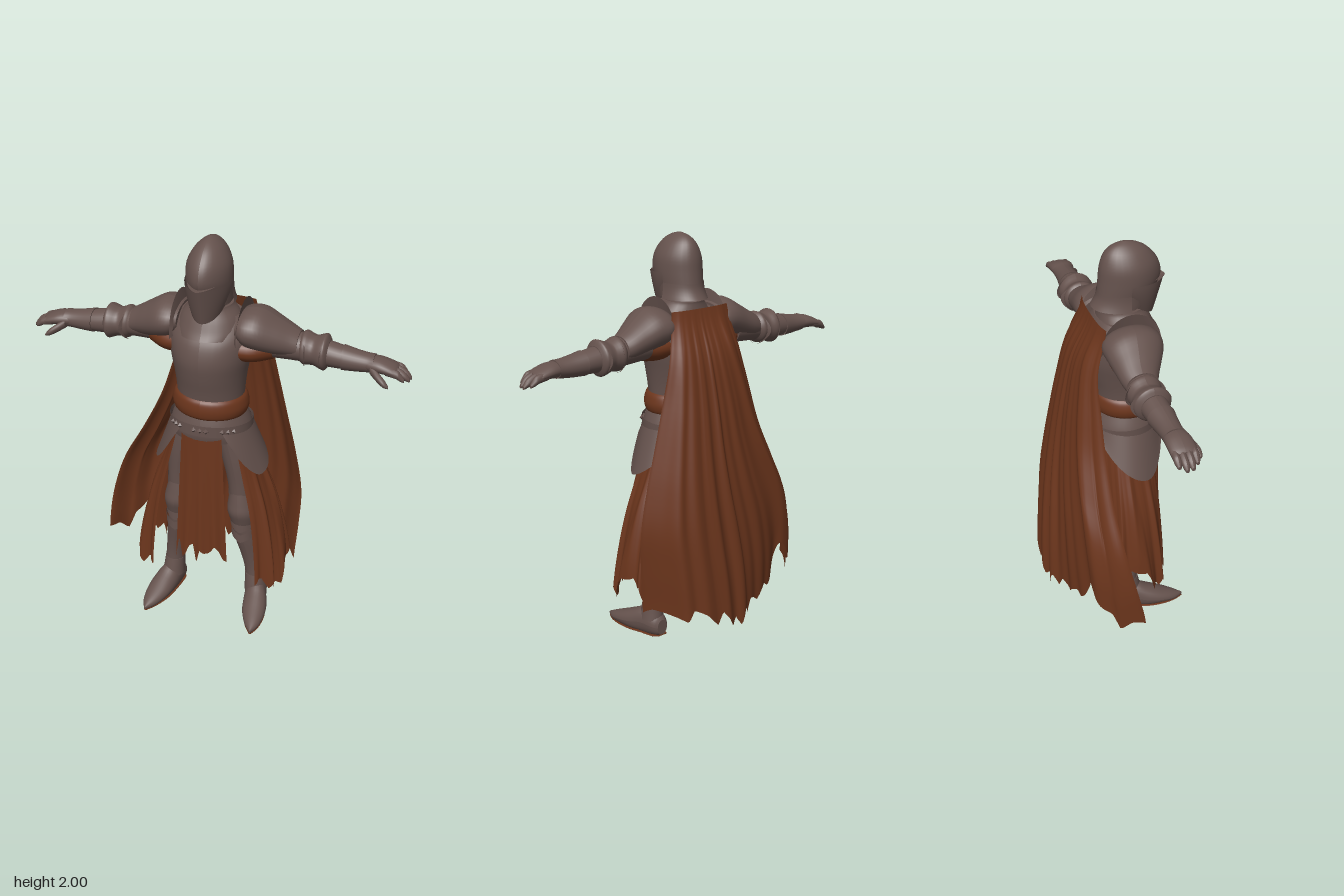
import * as THREE from 'three';

const steel = new THREE.MeshStandardMaterial({ color: 0x65524d, side: THREE.DoubleSide });
steel.name = 'dark steel';
const cloth = new THREE.MeshStandardMaterial({ color: 0x6b351c, side: THREE.DoubleSide });
cloth.name = 'rust cloth';

const lerp = THREE.MathUtils.lerp;
const hash = (n) => { const s = Math.sin(n * 127.1 + 11.7) * 43758.5453; return s - Math.floor(s); };
// jagged zigzag noise for torn hems
const jag = (t) => { const i = Math.floor(t); return lerp(hash(i), hash(i + 1), t - i); };
const bump = (u, at, width) => Math.exp(-(((u - at) / width) ** 2));
// power that keeps the sign, for squarer ellipses
const spow = (a, p) => Math.sign(a) * Math.abs(a) ** p;
// piecewise value along evenly spaced keys, smoothly interpolated
function keys(list, t) {
  const f = Math.min(Math.max(t, 0), 0.99999) * (list.length - 1), i = Math.floor(f), k = f - i;
  const p = (n) => list[Math.min(Math.max(n, 0), list.length - 1)];
  const [a, b, c, d] = [p(i - 1), p(i), p(i + 1), p(i + 2)];
  return 0.5 * (2 * b + (c - a) * k + (2 * a - 5 * b + 4 * c - d) * k * k + (3 * b - a - 3 * c + d) * k * k * k);
}

// Build an indexed geometry
function build(pos, idx) {
  const g = new THREE.BufferGeometry();
  g.setAttribute('position', new THREE.Float32BufferAttribute(pos, 3));
  g.setIndex(idx);
  g.computeVertexNormals();
  return g;
}

// Closed elliptical loft; sections are [t, u, v, ru, rv] with (u, v) = x:(y,z)  y:(z,x)  z:(x,y)
function loft(axis, sections, { seg = 28, sub = 4, map = null } = {}) {
  const s = sections[0][0] > sections.at(-1)[0] ? [...sections].reverse() : sections;
  const col = [0, 1, 2, 3, 4].map((k) => s.map((r) => r[k]));
  const rows = (s.length - 1) * sub, pos = [], idx = [];
  const put = (t, u, v) => {
    let p = axis === 'x' ? [t, u, v] : axis === 'y' ? [v, t, u] : [u, v, t];
    if (map) p = map(...p);
    pos.push(...p);
  };
  const ring = (f) => {
    const [t, u, v, ru, rv] = col.map((c) => keys(c, f));
    for (let j = 0; j <= seg; j++) {
      const a = (j % seg) / seg * Math.PI * 2;
      put(t, u + ru * Math.cos(a), v + rv * Math.sin(a));
    }
    return [t, u, v];
  };
  const w = seg + 1;
  for (let i = 0; i <= rows; i++) ring(i / rows);
  for (let i = 0; i < rows; i++) for (let j = 0; j < seg; j++) {
    const a = i * w + j;
    idx.push(a, a + 1, a + w + 1, a, a + w + 1, a + w);
  }
  for (const end of [0, 1]) {
    const base = pos.length / 3;
    put(...ring(end));
    for (let j = 0; j < seg; j++) idx.push(base + w, base + j + (end ? 0 : 1), base + j + (end ? 1 : 0));
  }
  return build(pos, idx);
}

// Open sheet from a rule fn(u, v) -> [x, y, z]
function sheet(nu, nv, fn) {
  const pos = [], idx = [], w = nu + 1;
  for (let i = 0; i <= nv; i++) for (let j = 0; j <= nu; j++) pos.push(...fn(j / nu, i / nv));
  for (let i = 0; i < nv; i++) for (let j = 0; j < nu; j++) {
    const a = i * w + j;
    idx.push(a, a + w, a + w + 1, a, a + w + 1, a + 1);
  }
  return build(pos, idx);
}

// Mirror a geometry across x and keep its faces outward
function mirrored(geo) {
  const g = geo.clone().scale(-1, 1, 1), ix = g.index.array;
  for (let i = 0; i < ix.length; i += 3) [ix[i], ix[i + 1]] = [ix[i + 1], ix[i]];
  g.computeVertexNormals();
  return g;
}

export function createModel() {
  const model = new THREE.Group();
  const add = (name, mat, geo) => {
    const m = new THREE.Mesh(geo, mat);
    m.name = name;
    model.add(m);
    return m;
  };
  const pair = (name, mat, geo) => {
    add('left ' + name, mat, geo);
    add('right ' + name, mat, mirrored(geo));
  };

  // Helmet: dome drawn to a ridge, beaked visor and neck guard
  const ridge = (x, y, z) => [x * (1 - 0.25 * Math.max(0, (z - 0.1) / 0.16) ** 2), y, z];
  add('helmet dome', steel, loft('y', [[1.7, 0.08, 0, 0.13, 0.098], [1.75, 0.095, 0, 0.135, 0.1], [1.82, 0.115, 0, 0.148, 0.106],
    [1.89, 0.112, 0, 0.138, 0.1], [1.95, 0.1, 0, 0.105, 0.07], [1.985, 0.092, 0, 0.06, 0.034], [2.0, 0.09, 0, 0.008, 0.004]], { map: ridge }));
  add('visor', steel, sheet(40, 10, (u, v) => {
    const s = u * 2 - 1, a = Math.abs(s);
    return [lerp(0.108, 0.083, v * v) * Math.sin(s * Math.PI / 2), lerp(1.818 - 0.015 * (1 - a), 1.63 + 0.09 * a * a, v),
      0.09 + lerp(0.188, 0.14, v) * (1 - a ** 1.7)];
  }));
  // small beak over the eye slit
  add('visor beak', steel, sheet(24, 2, (u, v) => {
    const s = u * 2 - 1, a = Math.abs(s);
    return [0.1 * Math.sin(s * 1.3), 1.822 - 0.018 * (1 - a), 0.095 + lerp(0.165, 0.192, v) * (1 - a ** 1.8)];
  }));
  add('neck guard', steel, sheet(24, 5, (u, v) => {
    const a = Math.PI * u, r = v * v;
    return [lerp(0.102, 0.113, r) * Math.cos(a), lerp(1.77, 1.695, v), 0.09 - lerp(0.13, 0.158, r) * Math.sin(a)];
  }));
  add('neck', steel, loft('y', [[1.6, 0.06, 0, 0.1, 0.1], [1.67, 0.07, 0, 0.1, 0.09], [1.73, 0.08, 0, 0.1, 0.08]]));

  // Cuirass and gorget
  add('cuirass', steel, loft('y', [[1.2, 0.09, 0, 0.145, 0.16], [1.28, 0.09, 0, 0.157, 0.165], [1.36, 0.088, 0, 0.175, 0.175],
    [1.44, 0.085, 0, 0.186, 0.19], [1.52, 0.078, 0, 0.175, 0.198], [1.58, 0.068, 0, 0.148, 0.19], [1.64, 0.065, 0, 0.11, 0.145]], { seg: 40 }));
  add('gorget', steel, loft('y', [[1.55, 0.09, 0, 0.162, 0.155], [1.58, 0.086, 0, 0.146, 0.16], [1.63, 0.082, 0, 0.126, 0.14],
    [1.67, 0.075, 0, 0.112, 0.108], [1.685, 0.073, 0, 0.11, 0.1]]));

  // Shoulders and arms
  pair('padded sleeve', cloth, loft('x', [[0.14, 1.485, 0.075, 0.07, 0.112], [0.22, 1.482, 0.068, 0.066, 0.104], [0.3, 1.49, 0.05, 0.058, 0.072]]));
  pair('pauldron', steel, loft('x', [[0.14, 1.59, 0.06, 0.062, 0.12], [0.18, 1.58, 0.06, 0.09, 0.14], [0.24, 1.572, 0.058, 0.098, 0.136],
    [0.31, 1.545, 0.045, 0.085, 0.112], [0.37, 1.522, 0.032, 0.07, 0.09], [0.41, 1.508, 0.028, 0.061, 0.075]]));
  pair('shoulder flange', steel, sheet(20, 3, (u, v) => {
    const a = Math.PI * (u * 1.1 - 0.05), k = Math.sin(a);
    return [0.148 + 0.012 * v, 1.55 + (0.09 + 0.075 * v) * k, 0.07 + (0.13 + 0.015 * v) * Math.cos(a)];
  }));
  pair('upper arm', steel, loft('x', [[0.27, 1.505, 0.042, 0.07, 0.085], [0.37, 1.5, 0.033, 0.069, 0.076], [0.46, 1.49, 0.026, 0.064, 0.068]]));
  pair('elbow cop', steel, loft('x', [[0.415, 1.495, 0.025, 0.064, 0.068], [0.435, 1.493, 0.024, 0.08, 0.082], [0.465, 1.488, 0.024, 0.073, 0.076],
    [0.485, 1.486, 0.026, 0.07, 0.076], [0.515, 1.486, 0.028, 0.081, 0.086], [0.535, 1.486, 0.03, 0.085, 0.084], [0.55, 1.485, 0.03, 0.06, 0.062]]));
  // flared wings of the elbow, pointed fore and aft
  for (const [x, lean] of [[0.437, 0.02], [0.53, -0.01]]) {
    pair('elbow wing', steel, sheet(32, 2, (u, v) => {
      const a = u * Math.PI * 2, tip = Math.abs(Math.cos(a)) ** 4;
      return [x + lean * v * tip, 1.488 + 0.082 * Math.sin(a), 0.025 + (0.07 + (0.012 + 0.014 * tip) * v) * Math.cos(a)];
    }));
  }
  pair('forearm', steel, loft('x', [[0.53, 1.483, 0.03, 0.062, 0.064], [0.6, 1.477, 0.034, 0.055, 0.06], [0.68, 1.471, 0.037, 0.048, 0.052],
    [0.74, 1.468, 0.038, 0.042, 0.05]]));
  pair('gauntlet cuff', steel, loft('x', [[0.615, 1.476, 0.035, 0.058, 0.064], [0.68, 1.471, 0.037, 0.05, 0.055], [0.73, 1.47, 0.038, 0.044, 0.052],
    [0.76, 1.471, 0.04, 0.042, 0.055]]));
  pair('palm', steel, loft('x', [[0.73, 1.47, 0.04, 0.036, 0.05], [0.79, 1.47, 0.042, 0.035, 0.06], [0.85, 1.459, 0.042, 0.026, 0.06], [0.87, 1.452, 0.042, 0.018, 0.055]]));
  [0.91, 0.93, 0.926, 0.905].forEach((tip, i) => {
    const z = 0 + i * 0.028, drop = 1.418 + (i === 1 || i === 2 ? 0 : 0.008);
    pair('finger ' + (i + 1), steel, loft('x', [[0.82, 1.461, z, 0.02, 0.017], [0.87, 1.452, z, 0.02, 0.017],
      [tip - 0.02, drop + 0.016, z, 0.018, 0.016], [tip, drop, z, 0.008, 0.008]], { seg: 12 }));
  });
  pair('thumb', steel, loft('x', [[0.75, 1.458, 0.075, 0.024, 0.022], [0.785, 1.437, 0.1, 0.022, 0.021], [0.82, 1.416, 0.118, 0.018, 0.018],
    [0.843, 1.402, 0.124, 0.006, 0.006]], { seg: 12 }));

  // Waist sash, hip plates and belt studs
  add('waist sash', cloth, loft('y', [[1.14, 0.092, 0, 0.145, 0.165], [1.155, 0.092, 0, 0.16, 0.178], [1.185, 0.092, 0, 0.166, 0.185],
    [1.215, 0.092, 0, 0.164, 0.18], [1.235, 0.092, 0, 0.158, 0.171], [1.248, 0.092, 0, 0.145, 0.155]],
  { seg: 40, map: (x, y, z) => [x, y - 0.03 * x, z] }));
  add('hip plate', steel, loft('y', [[1.02, 0.082, 0, 0.168, 0.198], [1.06, 0.084, 0, 0.174, 0.2], [1.1, 0.086, 0, 0.17, 0.19], [1.15, 0.088, 0, 0.155, 0.17]], { seg: 40 }));
  // belt hangs lower over the hips
  add('slung belt', steel, sheet(60, 3, (u, v) => {
    const a = u * Math.PI * 2, c = Math.cos(a);
    return [0.204 * Math.sin(a), 1.105 + 0.015 * c - 0.055 * v, 0.084 + 0.178 * c];
  }));
  for (const a of [-0.85, -0.7, -0.55, -0.15, 0, 0.15, 0.55, 0.7, 0.85]) {
    const m = add('belt stud', steel, new THREE.OctahedronGeometry(0.014));
    m.position.set(0.203 * Math.sin(a), 1.08 + 0.015 * Math.cos(a), 0.084 + 0.178 * Math.cos(a));
    m.rotation.y = a;
  }
  pair('tasset', steel, sheet(36, 10, (u, v) => {
    const a = lerp(0.55, 2.55, u), low = 0.84 + 0.17 * Math.abs((u - 0.36) / (u < 0.36 ? 0.36 : 0.64)) ** 1.8;
    return [lerp(0.198, 0.285, v) * Math.sin(a), lerp(1.085, low, v), 0.084 + lerp(0.178, 0.18, v) * Math.cos(a)];
  }));

  // Legs, knees and pointed boots
  pair('leg', steel, loft('y', [[1.05, 0.08, 0.1, 0.11, 0.09], [0.9, 0.085, 0.135, 0.098, 0.08], [0.77, 0.09, 0.155, 0.082, 0.068], [0.65, 0.095, 0.162, 0.07, 0.06],
    [0.54, 0.082, 0.17, 0.066, 0.058], [0.42, 0.062, 0.18, 0.07, 0.065], [0.3, 0.05, 0.202, 0.056, 0.056], [0.2, 0.044, 0.218, 0.05, 0.05], [0.08, 0.042, 0.225, 0.056, 0.052]]));
  pair('knee cop', steel, loft('y', [[0.5, 0.095, 0.172, 0.06, 0.056], [0.55, 0.1, 0.17, 0.072, 0.068], [0.6, 0.104, 0.167, 0.082, 0.075], [0.65, 0.102, 0.164, 0.078, 0.068],
    [0.71, 0.098, 0.16, 0.072, 0.056]]));
  // chevron plates above and below the knee
  for (const [y, x, r] of [[0.7, 0.16, 0.073], [0.53, 0.171, 0.073], [0.47, 0.175, 0.071]]) {
    pair('knee lame', steel, sheet(16, 2, (u, v) => {
      const s = u * 2 - 1, a = s * 1.7;
      return [x + r * 0.94 * Math.sin(a), y + 0.05 * Math.abs(s) - 0.045 * v, 0.085 + (r + 0.008) * Math.cos(a)];
    }));
  }
  const foot = [[-0.025, 0.218, 0.045, 0.03, 0.04], [0.0, 0.224, 0.055, 0.048, 0.062], [0.07, 0.236, 0.06, 0.056, 0.08],
    [0.14, 0.252, 0.046, 0.063, 0.062], [0.21, 0.264, 0.034, 0.058, 0.042], [0.28, 0.277, 0.02, 0.036, 0.026], [0.33, 0.285, 0.014, 0.004, 0.008]];
  pair('boot', steel, loft('z', foot, { map: (x, y, z) => [x, Math.max(y, 0.003), z] }));
  pair('boot sole', cloth, loft('z', foot.map(([z, x, , rx]) => [z, x, 0.0015, rx * 0.9, 0.02]), { map: (x, y, z) => [x, Math.min(Math.max(y, 0), 0.003), z] }));
  pair('ankle plate', steel, loft('y', [[0.08, 0.05, 0.228, 0.068, 0.058], [0.13, 0.048, 0.224, 0.06, 0.054], [0.18, 0.045, 0.22, 0.053, 0.051]]));

  // Torn front panel
  add('front panel', cloth, sheet(48, 16, (u, v) => {
    const s = u * 2 - 1, low = 0.28 + 0.15 * jag(u * 14 + 3) + 0.04 * Math.abs(s);
    return [s * lerp(0.1, 0.135, v), lerp(1.06, low, v), lerp(0.253, 0.273, v) - 0.02 * s * s + 0.006 * v * Math.cos(s * 11)];
  }));
  // Side skirts, pleated and flaring, squarer toward the hem
  pair('side skirt', cloth, sheet(90, 20, (u, v) => {
    const a = lerp(lerp(0.9, 0.52, v), 2.85, u), low = 0.18 + 0.17 * jag(u * 18 + 40), p = lerp(0.9, 0.52, v);
    const fold = 1 + 0.04 * v * Math.cos(u * 30), c = spow(Math.cos(a), p);
    return [keys([0.18, 0.24, 0.31, 0.355, 0.38], v) * fold * spow(Math.sin(a), p), lerp(1.06, low, v),
      0.07 + (c > 0 ? 0.16 : lerp(0.14, 0.18, v)) * fold * c];
  }));

  // Cape swept to its right, with soft folds and torn hem
  const right = [-0.17, -0.205, -0.27, -0.34, -0.44, -0.55, -0.605, -0.62];
  const left = [0.17, 0.225, 0.275, 0.325, 0.375, 0.41, 0.405, 0.39];
  const back = [-0.072, -0.16, -0.21, -0.245, -0.275, -0.3, -0.32, -0.33];
  const edgeR = [-0.055, -0.11, -0.118, -0.12, -0.12, -0.1, -0.06, -0.02];
  const edgeL = [-0.055, -0.11, -0.118, -0.12, -0.12, -0.12, -0.11, -0.1];
  // how far each column bows back, at the shoulders and at the hem
  const bowTop = [0, 0.58, 0.86, 0.98, 1, 0.98, 0.86, 0.58, 0];
  const bowHem = [0, 0.55, 0.63, 0.72, 0.9, 1, 0.98, 0.78, 0];
  add('cape', cloth, sheet(140, 36, (u, v) => {
    const s = u * 2 - 1, e = lerp(keys(edgeR, v), keys(edgeL, v), u);
    const low = 0.15 + 0.1 * jag(u * 32 + 7) + 0.14 * bump(u, 0.2, 0.07) - 0.09 * bump(u, 0.6, 0.13) - 0.05 * bump(u, 0.04, 0.06) + 0.03 * Math.abs(s);
    const folds = 0.009 * Math.cos(u * 44 + 2 * Math.sin(u * 9)) + 0.004 * Math.cos(u * 75);
    const z = lerp(e, keys(back, v), lerp(keys(bowTop, u), keys(bowHem, u), v)) + Math.min(1, v * 1.5) * folds;
    return [lerp(keys(right, v), keys(left, v), u), lerp(1.66, low, v), z];
  }));
  return model;
}
